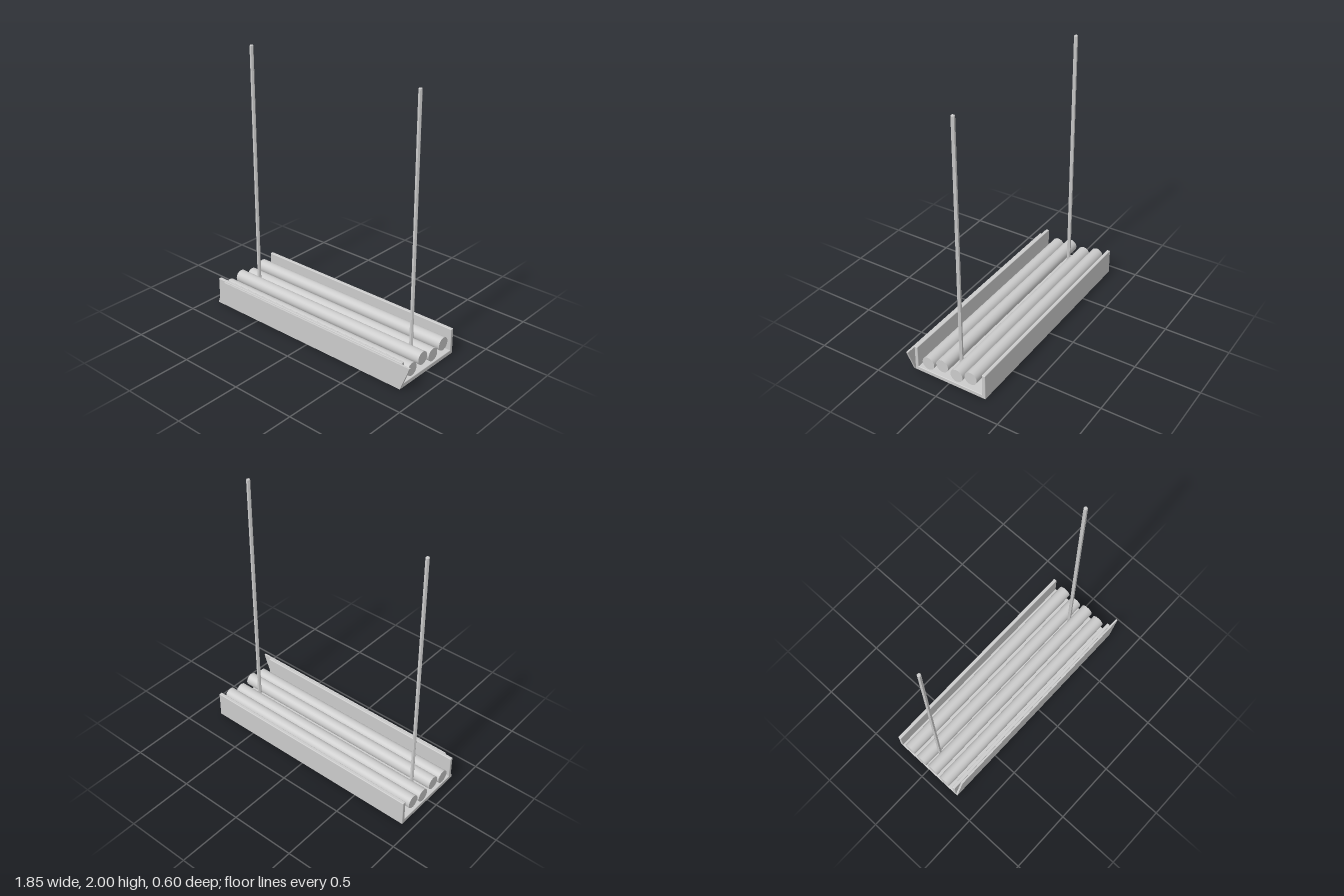
import * as THREE from 'three';
import { RoundedBoxGeometry } from 'three/addons/geometries/RoundedBoxGeometry.js';

const grey = new THREE.MeshStandardMaterial({ color: 0xcccccc });
const faceted = new THREE.MeshStandardMaterial({ color: 0xcccccc, flatShading: true });

const X0 = -0.925, X1 = 0.847; // ends of the tray
const LENGTH = X1 - X0, MID = (X0 + X1) / 2;

export function createModel() {
  const model = new THREE.Group();
  const add = (name, geometry, x, y, z, material = grey) => {
    const mesh = new THREE.Mesh(geometry, material);
    mesh.name = name;
    mesh.position.set(x, y, z);
    model.add(mesh);
    return mesh;
  };

  // Open-ended tray: slab and two side walls with softened edges
  const board = (name, y0, y1, z0, z1) =>
    add(name, new RoundedBoxGeometry(LENGTH, y1 - y0, z1 - z0, 2, 0.005), MID, (y0 + y1) / 2, (z0 + z1) / 2);
  board('trayBase', 0, 0.033, -0.302, 0.287);
  board('backWall', 0, 0.203, -0.302, -0.275);
  board('frontWall', 0, 0.203, 0.261, 0.287);

  // Slanted front panel, a parallelogram reaching past one end
  const outline = new THREE.Shape([
    new THREE.Vector2(-0.924, 0.004),
    new THREE.Vector2(0.847, 0.004),
    new THREE.Vector2(0.921, 0.196),
    new THREE.Vector2(-0.853, 0.196),
  ]);
  add('frontPanel', new THREE.ExtrudeGeometry(outline, { depth: 0.015, bevelEnabled: false }), 0, 0, 0.287);

  // Four pipes lying along the tray at alternating heights
  [[0.171, 0.1], [0.053, 0.13], [-0.066, 0.1], [-0.184, 0.13]].forEach(([z, y]) => {
    const pipe = add('pipe', new THREE.CylinderGeometry(0.05, 0.05, LENGTH, 32), MID, y, z);
    pipe.rotation.z = Math.PI / 2;
  });

  // Two hanging rods, six-sided with a small chamfer on top
  const profile = [[0, 0.085], [0.0145, 0.085], [0.0145, 1.995], [0.011, 2], [0, 2]]
    .map(([r, y]) => new THREE.Vector2(r, y));
  for (const x of [-0.783, 0.701]) {
    add('hangingRod', new THREE.LatheGeometry(profile, 6, Math.PI / 2), x, 0, -0.007, faceted);
  }

  return model;
}
